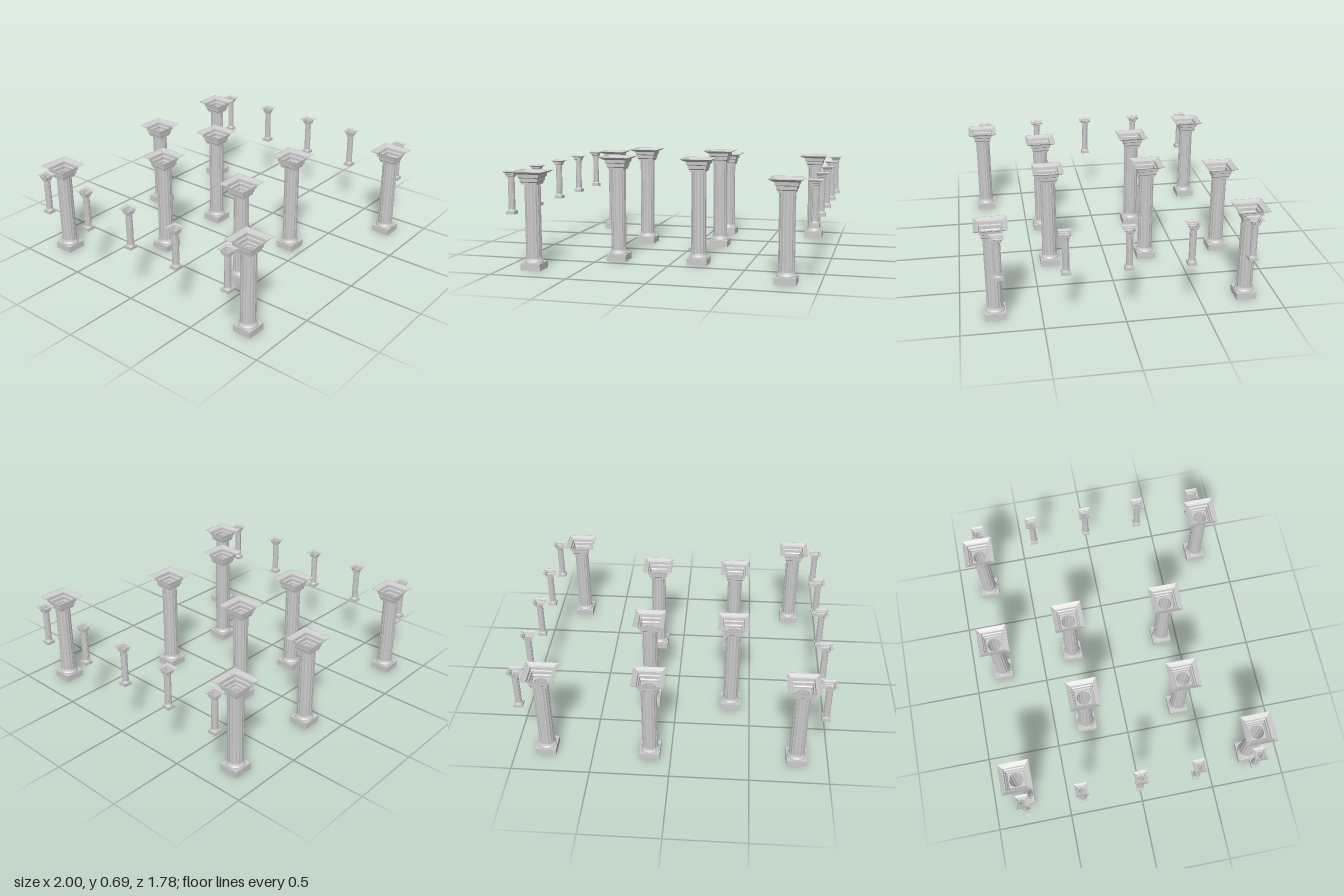
import * as THREE from 'three';

const material = new THREE.MeshStandardMaterial({ color: 0xcccccc, flatShading: true, side: THREE.DoubleSide });

function part(name, geometry) {
  const mesh = new THREE.Mesh(geometry, material);
  mesh.name = name;
  return mesh;
}

// Square moulding swept from [half width, height] pairs
function squareMoulding(profile) {
  const points = profile.map(([half, y]) => new THREE.Vector2(half * Math.SQRT2, y));
  return new THREE.LatheGeometry(points, 4).rotateY(Math.PI / 4);
}

// Flat square plate with a round opening for the shaft
function collar(half, radius, y) {
  const shape = new THREE.Shape([[-1, -1], [1, -1], [1, 1], [-1, 1]]
    .map(([x, z]) => new THREE.Vector2(x * half, z * half)));
  shape.holes.push(new THREE.Path().absarc(0, 0, radius, 0, Math.PI * 2, true));
  return new THREE.ShapeGeometry(shape, 16).rotateX(-Math.PI / 2).translate(0, y, 0);
}

// Hollow shaft with shallow scalloped flutes
function flutedShaft(radius, bottom, top) {
  const flutes = 16;
  const geometry = new THREE.CylinderGeometry(radius, radius, top - bottom, flutes * 4, 1, true);
  const position = geometry.attributes.position;
  for (let i = 0; i < position.count; i++) {
    const x = position.getX(i), z = position.getZ(i);
    const wave = Math.abs(Math.sin(Math.atan2(z, x) * flutes / 2));
    const s = 1 - 0.06 * wave;
    position.setX(i, x * s);
    position.setZ(i, z * s);
  }
  geometry.translate(0, (top + bottom) / 2, 0);
  geometry.computeVertexNormals();
  return geometry;
}

function createColumn(name, h) {
  const column = new THREE.Group();
  column.name = name;

  // Plinth, open below with a small square hole
  column.add(part('plinth', squareMoulding([[0.024, 0.018], [0.062, 0], [0.065, 0], [0.065, 0.045]])));
  column.add(part('plinthTop', collar(0.065, 0.046, 0.045)));

  // Flared foot
  const foot = [[0.061, 0.045], [0.06, 0.053], [0.053, 0.062], [0.049, 0.074]];
  column.add(part('foot', new THREE.LatheGeometry(foot.map(p => new THREE.Vector2(...p)), 32)));

  column.add(part('shaft', flutedShaft(0.05, 0.045, h - 0.083)));

  // Stepped square capital, an open funnel
  column.add(part('capitalBase', collar(0.052, 0.045, h - 0.083)));
  column.add(part('capital', squareMoulding([
    [0.052, h - 0.083], [0.053, h - 0.07], [0.059, h - 0.064], [0.06, h - 0.043],
    [0.068, h - 0.038], [0.07, h - 0.018], [0.08, h - 0.014], [0.1, h - 0.002], [0.1, h]
  ])));
  return column;
}

export function createModel() {
  const model = new THREE.Group();
  model.name = 'colonnade';

  const place = (column, x, y, z) => {
    column.position.set(x, y, z);
    model.add(column);
  };

  // Outer columns
  for (const [x, z] of [[-0.8, -0.795], [0.134, -0.795], [0.8, -0.795], [-0.8, 0.783], [0.8, 0.783]]) {
    place(createColumn('outerColumn', 0.625), x, 0, z);
  }

  // Taller central columns
  for (const x of [-0.37, 0.176]) {
    for (const z of [-0.277, 0.385]) place(createColumn('centralColumn', 0.69), x, 0, z);
  }

  // Small raised columns along both sides
  for (const x of [-0.957, 0.957]) {
    for (const z of [-0.778, -0.4, -0.018, 0.36, 0.755]) {
      const column = createColumn('smallColumn', 0.635);
      column.scale.setScalar(0.43);
      place(column, x, 0.342, z);
    }
  }
  return model;
}
